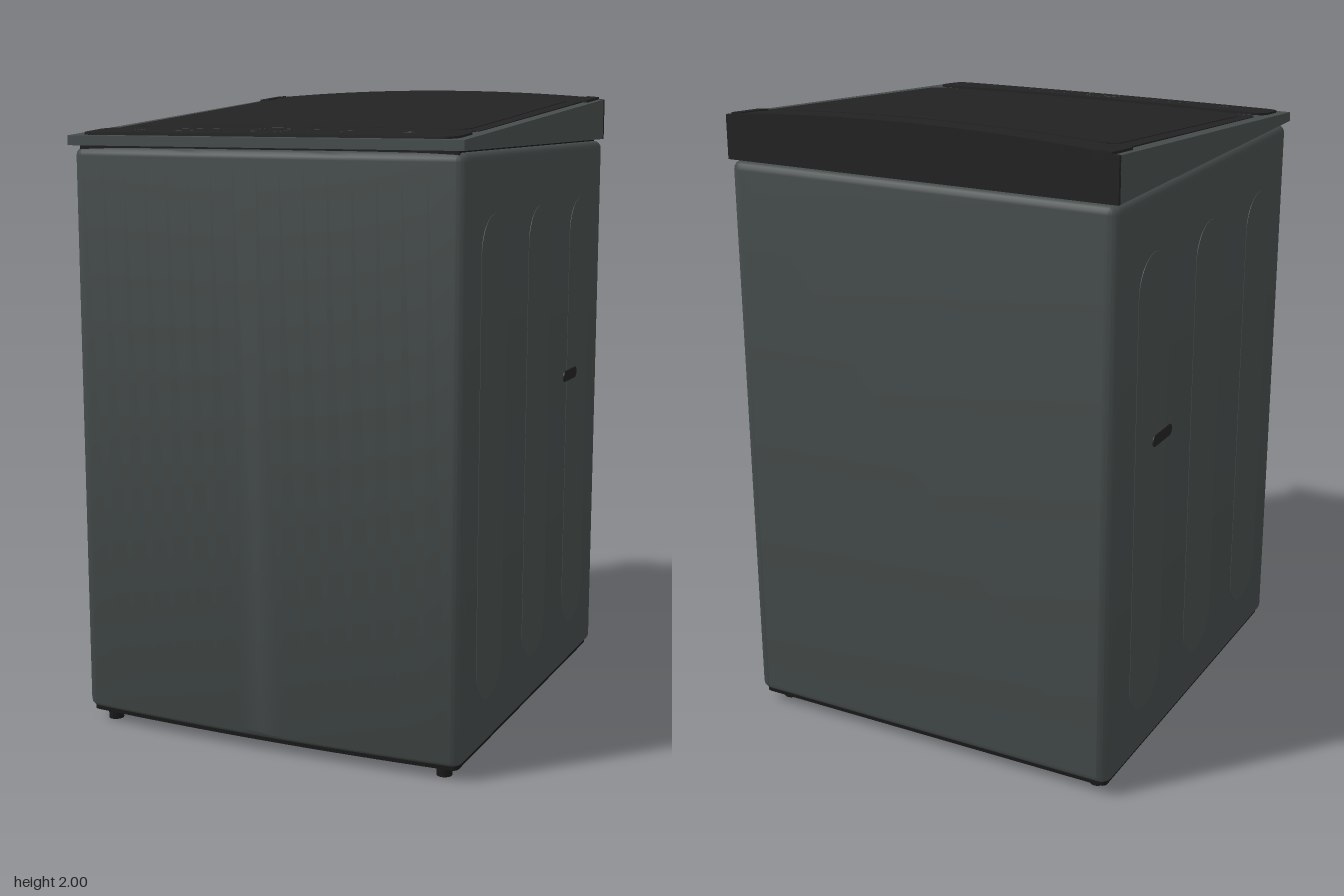
import * as THREE from 'three';
import { toCreasedNormals } from 'three/addons/utils/BufferGeometryUtils.js';

export function createModel() {
  const model = new THREE.Group();
  model.name = 'washingMachine';

  const paint = (name, color) => {
    const m = new THREE.MeshStandardMaterial({ color });
    m.name = name;
    return m;
  };
  const grey = paint('slateGrey', 0x454c4b);
  const black = paint('lidBlack', 0x222222);
  const baseBlack = paint('baseBlack', 0x191919);
  const mark = paint('markGrey', 0x4a4a4a);

  const add = (name, geometry, material, x = 0, y = 0, z = 0) => {
    const mesh = new THREE.Mesh(geometry, material);
    mesh.name = name;
    mesh.position.set(x, y, z);
    model.add(mesh);
    return mesh;
  };

  // Sloping, gently arched top surface
  const slope = z => 1.918 - 0.077 * z;
  const surf = (x, z) => slope(z) + (0.015 - 0.0176 * z) * (1 - (x / 0.64) ** 2);

  // Plan outline with rounded corners and a bowed front
  const plan = (w, zBack, zFront, r, bow) => {
    const s = new THREE.Shape();
    s.moveTo(-w + r, -zFront);
    s.quadraticCurveTo(0, -zFront - bow * 2, w - r, -zFront);
    s.quadraticCurveTo(w, -zFront, w, -zFront + r);
    s.lineTo(w, -zBack - r);
    s.quadraticCurveTo(w, -zBack, w - r, -zBack);
    s.lineTo(-w + r, -zBack);
    s.quadraticCurveTo(-w, -zBack, -w, -zBack - r);
    s.lineTo(-w, -zFront + r);
    s.quadraticCurveTo(-w, -zFront, -w + r, -zFront);
    return s;
  };

  // Cabinet with softened edges
  const cabinet = new THREE.ExtrudeGeometry(plan(0.615, -0.655, 0.635, 0.015, 0.02), {
    depth: 1.735, bevelEnabled: true, bevelSize: 0.025, bevelThickness: 0.025,
    bevelSegments: 4, curveSegments: 16,
  }).rotateX(-Math.PI / 2);
  add('cabinet', toCreasedNormals(cabinet, 0.6), grey, 0, 0.07, 0);

  // Base plate and feet
  const base = new THREE.ExtrudeGeometry(plan(0.625, -0.665, 0.645, 0.02, 0.02), {
    depth: 0.02, bevelEnabled: false, curveSegments: 16,
  }).rotateX(-Math.PI / 2);
  add('basePlate', base, baseBlack, 0, 0.035, 0);
  for (const x of [-0.57, 0.57]) for (const z of [-0.6, 0.6])
    add('foot', new THREE.CylinderGeometry(0.024, 0.024, 0.04, 20), baseBlack, x, 0.02, z);

  // Shadow gap and wedge-shaped top housing
  add('neck', new THREE.BoxGeometry(1.23, 0.03, 1.3), baseBlack, 0, 1.83, 0);
  const wedge = new THREE.Shape();
  wedge.moveTo(-0.67, 1.836);
  wedge.lineTo(0.68, 1.836);
  wedge.lineTo(0.68, slope(0.68));
  wedge.lineTo(-0.67, slope(-0.67));
  add('topHousing', new THREE.ExtrudeGeometry(wedge, { depth: 1.28, bevelEnabled: false })
    .rotateY(-Math.PI / 2), grey, 0.64, 0, 0);

  // Arched back wall of the housing
  const wall = new THREE.Shape();
  wall.moveTo(-0.64, 1.836);
  wall.lineTo(0.64, 1.836);
  wall.lineTo(0.64, 1.97);
  wall.quadraticCurveTo(0, 2.026, -0.64, 1.97);
  add('backWall', new THREE.ExtrudeGeometry(wall, { depth: 0.012, bevelEnabled: false, curveSegments: 24 }),
    black, 0, 0, -0.68);

  // Rounded slab that follows the arched surface, built from columns along x
  function slab(w, zBack, zFront, rBack, rFront, lift, thick, cx = 0) {
    const n = 48, pos = [], idx = [];
    const inset = (x, r) => {
      const d = Math.max(0, Math.abs(x) - (w - r));
      return r - Math.sqrt(Math.max(0, r * r - d * d));
    };
    for (let i = 0; i <= n; i++) {
      const x = w * Math.sin((i / n - 0.5) * Math.PI);
      const b = zBack + inset(x, rBack), f = zFront - inset(x, rFront), X = x + cx;
      const yb = surf(X, b) + lift, yf = surf(X, f) + lift;
      pos.push(X, yb, b, X, yf, f, X, yf - thick, f, X, yb - thick, b);
    }
    for (let i = 0; i < n; i++) for (let k = 0; k < 4; k++) {
      const a = i * 4 + k, b = i * 4 + (k + 1) % 4;
      idx.push(a, b, b + 4, a, b + 4, a + 4);
    }
    const e = n * 4;
    idx.push(3, 1, 0, 3, 2, 1, e + 3, e, e + 1, e + 3, e + 1, e + 2);
    const g = new THREE.BufferGeometry();
    g.setAttribute('position', new THREE.Float32BufferAttribute(pos, 3));
    g.setIndex(idx);
    return toCreasedNormals(g, 0.5);
  }

  // Lid, raised inner panel, front lip and hinge cover
  add('lid', slab(0.6, -0.6, 0.465, 0.05, 0.03, 0.001, 0.035), black);
  add('lidPanel', slab(0.56, -0.54, 0.44, 0.05, 0.05, 0.003, 0.01), black);
  add('lidLip', slab(0.585, 0.45, 0.492, 0.005, 0.01, -0.001, 0.02), black);
  add('hingeCover', slab(0.61, -0.68, -0.603, 0.002, 0.002, 0.003, 0.035), black);
  for (const s of [-1, 1])
    add('hingeWing', slab(0.02, -0.68, -0.545, 0.002, 0.006, 0.006, 0.03, s * 0.6), black);

  // Control panel
  add('controlPanel', slab(0.61, 0.503, 0.66, 0.04, 0.04, 0.006, 0.03), black);

  // Printed controls, laid onto the panel surface
  const lay = (name, geometry, x, z) => {
    geometry.rotateX(-Math.PI / 2).translate(x, 0, z);
    const p = geometry.attributes.position;
    for (let i = 0; i < p.count; i++) p.setY(i, surf(p.getX(i), p.getZ(i)) + 0.0075);
    add(name, geometry, mark);
  };
  lay('dialRing', new THREE.RingGeometry(0.055, 0.058, 48), 0, 0.583);
  lay('dialMark', new THREE.PlaneGeometry(0.022, 0.008), 0, 0.585);
  for (const s of [-1, 1]) {
    lay('buttonRing', new THREE.RingGeometry(0.012, 0.015, 24), s * 0.44, 0.588);
    lay('buttonMark', new THREE.PlaneGeometry(0.003, 0.012), s * 0.44, 0.584);
    for (const x of [0.14, 0.19, 0.245, 0.295]) for (const z of [0.565, 0.607])
      lay('indicator', new THREE.PlaneGeometry(0.02, 0.004), s * x, z);
  }

  // Embossed side panels and grip slots
  const stadium = (r, half, depth) => {
    const s = new THREE.Shape();
    s.absarc(0, half - r, r, 0, Math.PI);
    s.absarc(0, r - half, r, Math.PI, Math.PI * 2);
    return new THREE.ExtrudeGeometry(s, { depth, bevelEnabled: false, curveSegments: 24 });
  };
  for (const s of [-1, 1]) {
    for (const z of [-0.42, 0, 0.42])
      add('sidePanel', stadium(0.112, 0.73, 0.004).rotateY(s * Math.PI / 2), grey, s * 0.6375, 0.92, z);
    add('gripSlot', stadium(0.018, 0.07, 0.006).rotateZ(Math.PI / 2).rotateY(s * Math.PI / 2),
      black, s * 0.638, 1.067, -0.34);
  }
  return model;
}
